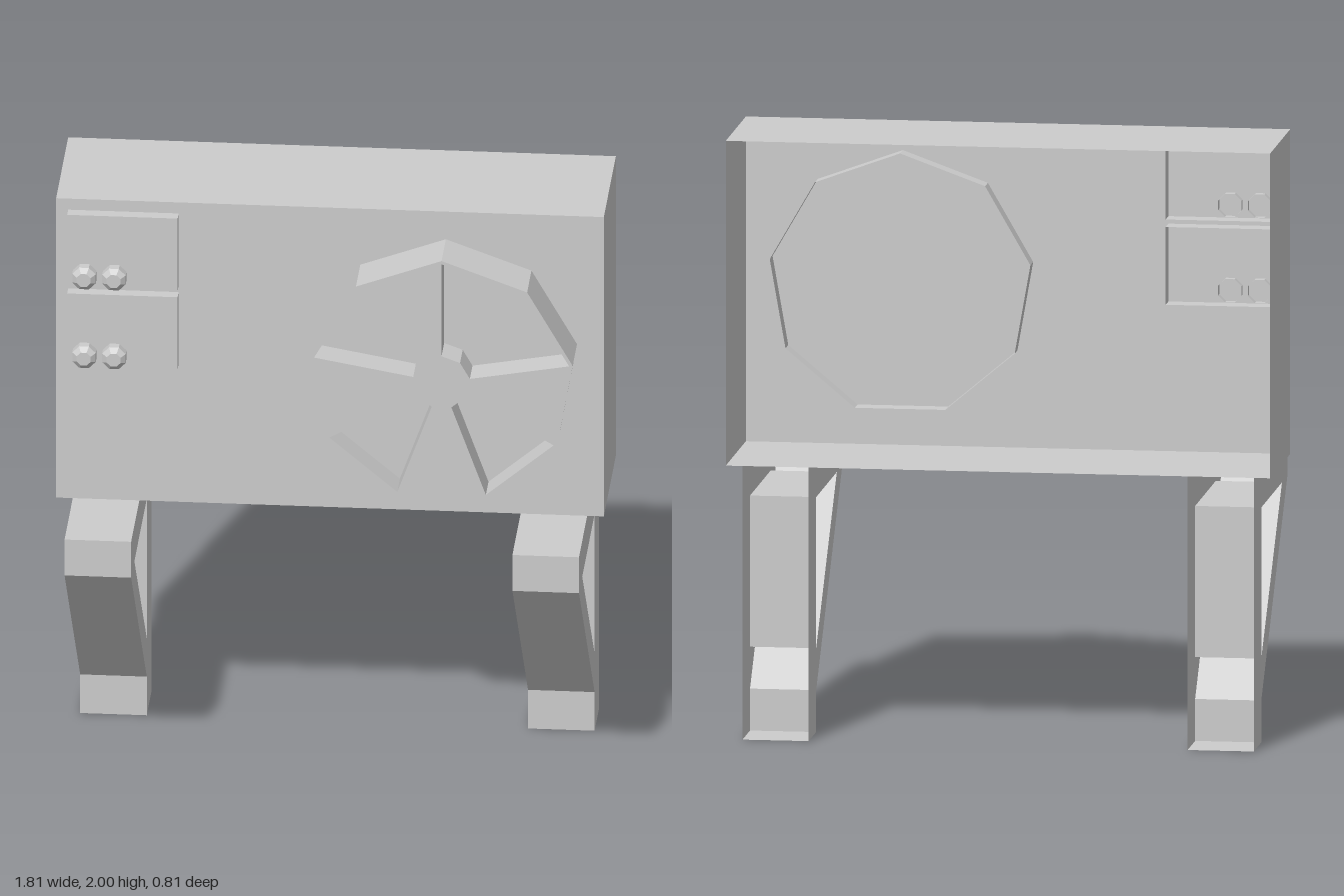
import * as THREE from 'three';

const grey = new THREE.MeshStandardMaterial({ color: 0xcccccc, side: THREE.DoubleSide, flatShading: true });
grey.name = 'light grey';

const vec = (pts) => pts.map(([x, y]) => new THREE.Vector2(x, y));
const rect = (x0, x1, y0, y1) => [[x0, y0], [x1, y0], [x1, y1], [x0, y1]];

function add(parent, name, geometry) {
  const mesh = new THREE.Mesh(geometry, grey);
  mesh.name = name;
  parent.add(mesh);
  return mesh;
}

// Sheet that follows an outline in xy, from depth z0 to z1
function wall(pts, z0, z1, closed = true) {
  const pos = [];
  const count = closed ? pts.length : pts.length - 1;
  for (let i = 0; i < count; i++) {
    const [ax, ay] = pts[i], [bx, by] = pts[(i + 1) % pts.length];
    pos.push(ax, ay, z0, bx, by, z0, bx, by, z1, ax, ay, z0, bx, by, z1, ax, ay, z1);
  }
  const g = new THREE.BufferGeometry();
  g.setAttribute('position', new THREE.Float32BufferAttribute(pos, 3));
  g.computeVertexNormals();
  return g;
}

// Flat sheet with optional holes at depth z
function sheet(pts, z, holes = []) {
  const shape = new THREE.Shape(vec(pts));
  holes.forEach((h) => shape.holes.push(new THREE.Path(vec(h))));
  return new THREE.ShapeGeometry(shape).translate(0, 0, z);
}

// Shell that is open at the back
function openBox(parent, name, pts, z0, z1) {
  add(parent, name + 'Sides', wall(pts, z0, z1));
  add(parent, name + 'Front', sheet(pts, z1));
}

function makeFan() {
  const fan = new THREE.Group();
  fan.name = 'fan';
  const at = (r, deg) => {
    const a = THREE.MathUtils.degToRad(deg);
    return [0.383 + r * Math.cos(a), 1.46 + r * Math.sin(a)];
  };
  const rim = Array.from({ length: 9 }, (_, i) => at(0.44, 10 + i * 40));
  // One double opening and three single ones between four blades
  const pockets = [[10, 50, 90], [130, 170], [210, 250], [290, 330]].map((angles) => [
    ...angles.map((a) => at(0.428, a)),
    ...[...angles].reverse().map((a) => at(0.095, a)),
  ]);
  add(fan, 'fanRim', wall(rim, 0.01, 0.25));
  add(fan, 'fanBlades', sheet(rim, 0.25, pockets));
  pockets.forEach((p) => {
    add(fan, 'fanOpeningSides', wall(p, 0.145, 0.25));
    add(fan, 'fanOpeningFloor', sheet(p, 0.145));
  });
  return fan;
}

// Hollow triangular bracket: profile drawn as (z, y), post open at the back
function makeBracket(x) {
  const bracket = new THREE.Group();
  bracket.name = 'bracket';
  const outline = [[-0.4, 0], [-0.22, 0], [-0.22, 0.14], [0.405, 0.785], [0.405, 0.915], [-0.4, 0.915]];
  const gap = [[-0.22, 0.28], [0.275, 0.785], [-0.22, 0.785]];
  const half = 0.11;
  const turn = (g) => g.rotateY(-Math.PI / 2).translate(x, 0, 0);
  for (const s of [-half, half]) add(bracket, 'bracketSide', turn(sheet(outline, s, [gap])));
  add(bracket, 'bracketEdge', turn(wall(outline, -half, half, false)));
  add(bracket, 'bracketInnerEdge', turn(wall(gap, -half, half)));
  return bracket;
}

export function createModel() {
  const model = new THREE.Group();
  model.name = 'fanUnit';

  openBox(model, 'housing', rect(-0.905, 0.905, 0.915, 2), -0.405, 0.077);
  model.add(makeFan());

  // Two control panels, each with two knobs
  const knobProfile = vec([[0.042, 0.05], [0.042, 0.148], [0.025, 0.164], [0, 0.164]]);
  for (const y of [1.415, 1.7]) {
    openBox(model, 'controlPanel', rect(-0.865, -0.5, y, y + 0.26), 0.01, 0.118);
    for (const x of [-0.807, -0.708]) {
      const knob = add(model, 'knob', new THREE.LatheGeometry(knobProfile, 8).rotateY(Math.PI / 8).rotateX(Math.PI / 2));
      knob.position.set(x, y + 0.045, 0);
    }
  }

  for (const x of [-0.74, 0.74]) model.add(makeBracket(x));
  return model;
}
